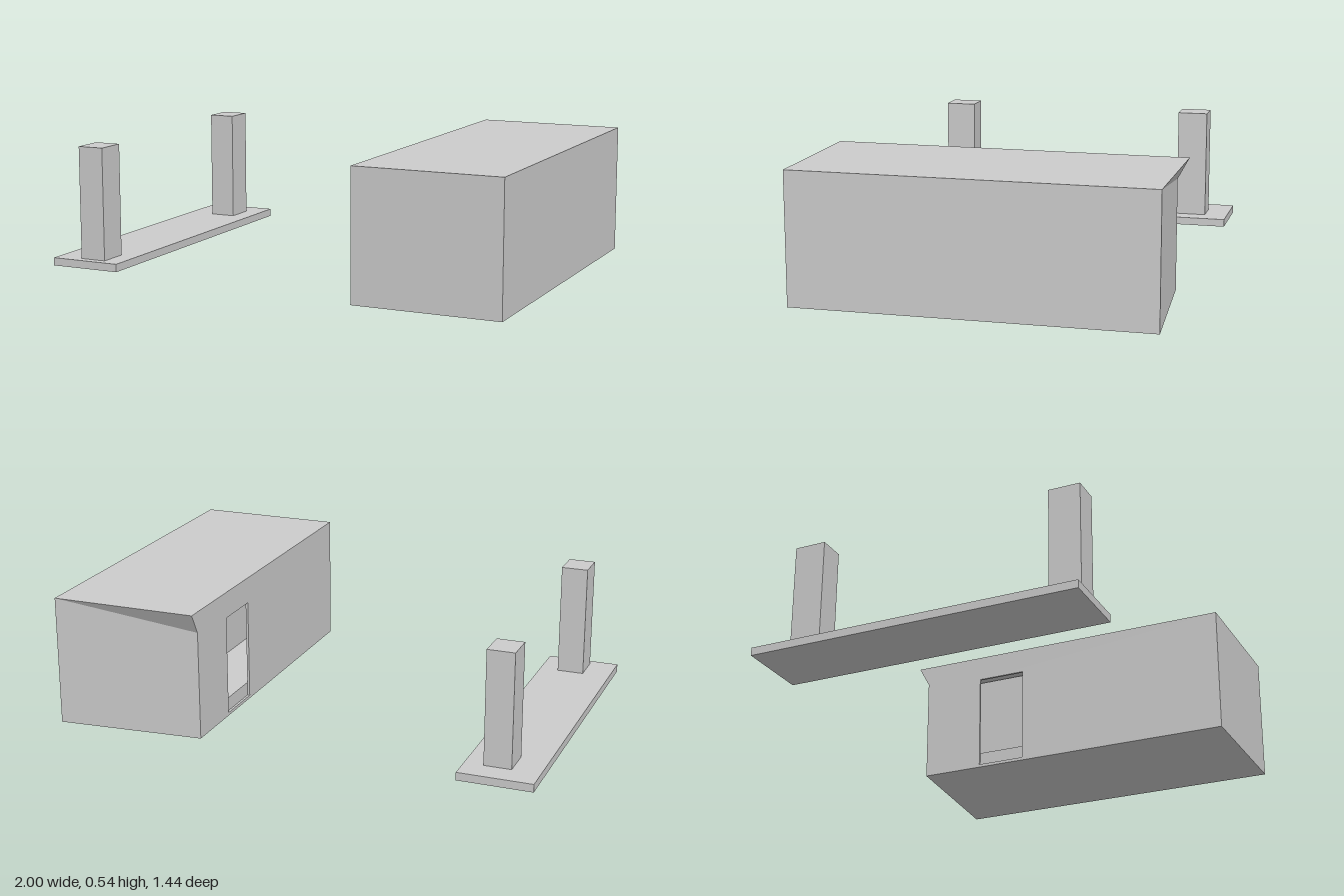
import * as THREE from 'three';

const mat = new THREE.MeshStandardMaterial({ color: 0xcccccc, flatShading: true });
const sheetMat = new THREE.MeshStandardMaterial({ color: 0xcccccc, flatShading: true, side: THREE.DoubleSide });

// Box given by its minimum and maximum corners
function block(name, [x0, y0, z0], [x1, y1, z1]) {
  const mesh = new THREE.Mesh(new THREE.BoxGeometry(x1 - x0, y1 - y0, z1 - z0), mat);
  mesh.position.set((x0 + x1) / 2, (y0 + y1) / 2, (z0 + z1) / 2);
  mesh.name = name;
  return mesh;
}

// Flat panel as a fan of triangles, corners counter-clockwise from outside
function panel(name, ...corners) {
  const pos = [];
  for (let i = 1; i < corners.length - 1; i++) pos.push(...corners[0], ...corners[i], ...corners[i + 1]);
  const geo = new THREE.BufferGeometry();
  geo.setAttribute('position', new THREE.Float32BufferAttribute(pos, 3));
  geo.computeVertexNormals();
  const mesh = new THREE.Mesh(geo, sheetMat);
  mesh.name = name;
  return mesh;
}

export function createModel() {
  const model = new THREE.Group();

  // Low platform with two square posts
  const platform = new THREE.Group();
  platform.name = 'platform';
  platform.add(block('plank', [-1, 0.01, -0.71], [-0.695, 0.043, 0.655]));
  for (const [name, z] of [['backPost', -0.61], ['frontPost', 0.49]])
    platform.add(block(name, [-0.885, 0.043, z], [-0.773, 0.513, z + 0.13]));
  model.add(platform);

  // Building shell: the back wall slants inward under a small sloping eave
  const building = new THREE.Group();
  building.name = 'building';
  const L = 0.39, R = 1, H = 0.535, E = 0.45, F = 0.72, B = -0.72, I = -0.674;
  building.add(
    panel('roof', [L, H, F], [R, H, F], [R, H, B], [L, H, B]),
    panel('floor', [L, 0, F], [L, 0, I], [R, 0, B], [R, 0, F]),
    panel('frontWall', [L, 0, F], [R, 0, F], [R, H, F], [L, H, F]),
    panel('sideWall', [R, 0, F], [R, 0, B], [R, H, B], [R, H, F]),
    panel('backWall', [R, 0, B], [L, 0, I], [L, E, I], [R, E, B]),
    panel('backEave', [R, H, B], [R, E, B], [L, E, I], [L, H, B]),
  );

  // Inner side wall with a doorway cut through it
  const outline = new THREE.Shape([[F, 0], [F, H], [B, H], [I, E], [I, 0]].map(p => new THREE.Vector2(...p)));
  outline.holes.push(new THREE.Path([[-0.41, 0.013], [-0.2, 0.013], [-0.2, 0.427], [-0.41, 0.427]].map(p => new THREE.Vector2(...p))));
  const doorGeo = new THREE.ExtrudeGeometry(outline, { depth: 0.01, bevelEnabled: false });
  doorGeo.rotateY(-Math.PI / 2);
  const doorWall = new THREE.Mesh(doorGeo, mat);
  doorWall.name = 'doorWall';
  doorWall.position.x = L + 0.01;
  building.add(doorWall);

  // Raised floor and partition behind the doorway
  building.add(
    block('innerFloor', [0.4, 0.005, -0.66], [0.64, 0.07, 0.71]),
    panel('partition', [0.635, 0.07, -0.66], [0.635, 0.07, 0.71], [0.635, 0.53, 0.71], [0.635, 0.53, -0.66]),
  );
  model.add(building);
  return model;
}
